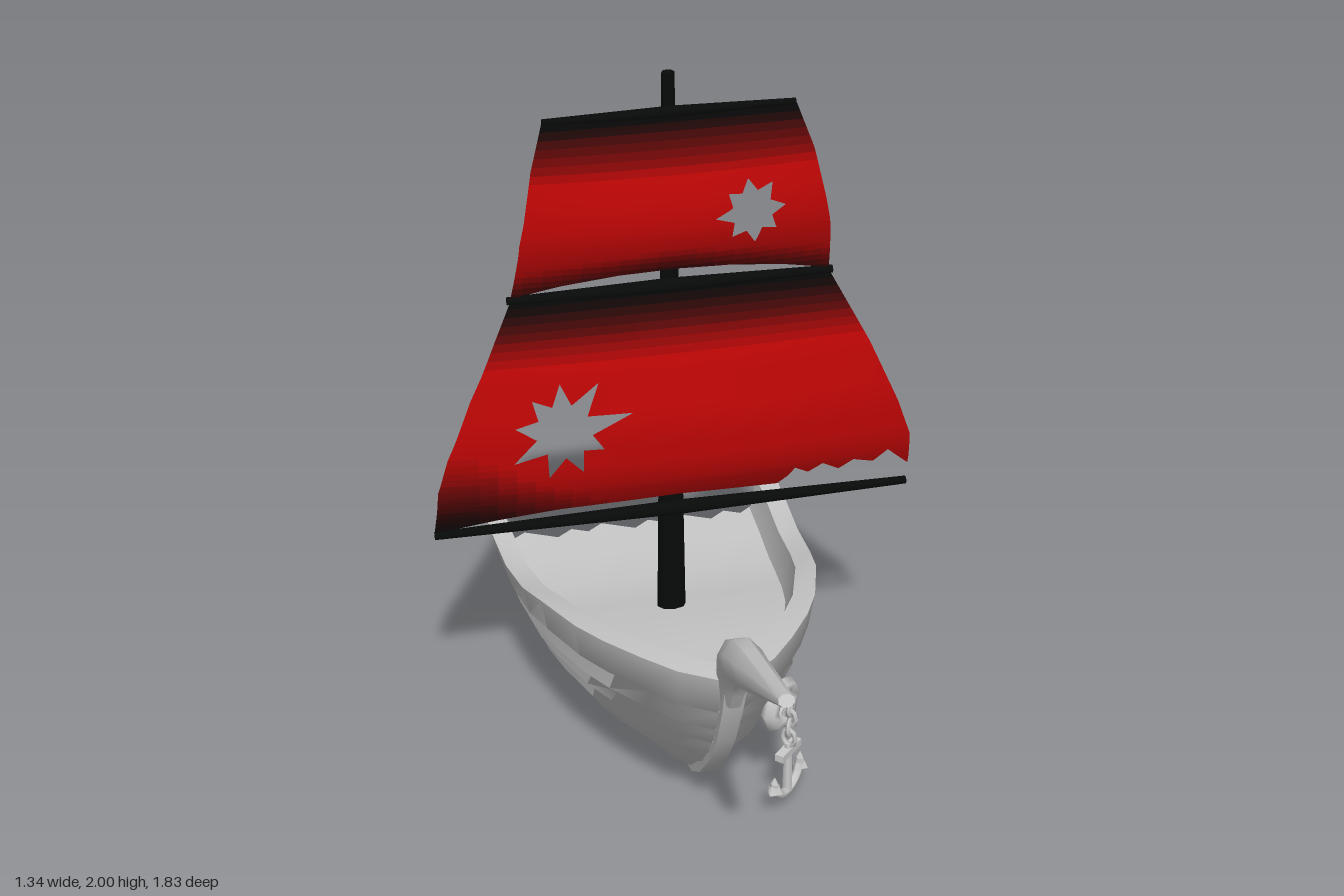
import * as THREE from 'three';
import { toCreasedNormals } from 'three/addons/utils/BufferGeometryUtils.js';

const V = (x, y, z) => new THREE.Vector3(x, y, z);
const clamp = THREE.MathUtils.clamp, lerp = THREE.MathUtils.lerp;
const grey = new THREE.MeshStandardMaterial({ color: 0xcccccc });
const black = new THREE.MeshStandardMaterial({ color: 0x080a0a });

function add(parent, name, geometry, material = grey) {
  const mesh = new THREE.Mesh(geometry, material);
  mesh.name = name;
  parent.add(mesh);
  return mesh;
}

// Skin closed rings (anticlockwise seen from the far end) and cap both ends
function loft(rings, flip = false) {
  const pos = [], m = rings[0].length;
  const quad = (a, b, c, d) => {
    const q = flip ? [a, c, b, a, d, c] : [a, b, c, a, c, d];
    q.forEach(p => pos.push(p.x, p.y, p.z));
  };
  for (let i = 0; i < rings.length - 1; i++)
    for (let j = 0; j < m; j++) {
      const k = (j + 1) % m;
      quad(rings[i][j], rings[i][k], rings[i + 1][k], rings[i + 1][j]);
    }
  const a = rings[0], b = rings[rings.length - 1];
  for (let k = 0; k < m / 2 - 1; k++) {
    quad(a[m - 1 - k], a[m - 2 - k], a[k + 1], a[k]);
    quad(b[k], b[k + 1], b[m - 2 - k], b[m - 1 - k]);
  }
  const g = new THREE.BufferGeometry();
  g.setAttribute('position', new THREE.Float32BufferAttribute(pos, 3));
  return toCreasedNormals(g, 0.8);
}

// Sweep an n-sided section along [z, y, halfWidth, halfHeight] in the centre plane
function sweep(path, sides) {
  const f = sides === 4 ? Math.SQRT2 : 1;
  return loft(path.map(([z, y, rx, ry], i) => {
    const p = path[Math.max(i - 1, 0)], q = path[Math.min(i + 1, path.length - 1)];
    const l = Math.hypot(q[0] - p[0], q[1] - p[1]), tz = (q[0] - p[0]) / l, ty = (q[1] - p[1]) / l;
    return Array.from({ length: sides }, (_, j) => {
      const a = (j + 0.5) / sides * Math.PI * 2, n = f * ry * Math.sin(a);
      return V(f * rx * Math.cos(a), y + n * tz, z - n * ty);
    });
  }));
}

// Hull stations along the length: position, breadth and sheer fractions
const S = [0, 0.12, 0.26, 0.41, 0.53, 0.68, 0.77, 0.865, 0.94, 1];
const PLAN = [1, 0.985, 0.96, 0.92, 0.86, 0.73, 0.61, 0.44, 0.28, 0.07];
const RISE = [0, 0.02, 0.05, 0.27, 0.52, 0.7, 0.8, 0.89, 0.95, 1];
// Plank edges: [x, y, z] at the broken end, then [y, z] at the stem
const EDGES = [
  [0, 0.02, -0.88, 0.035, -0.1], [0.12, 0.035, -0.88, 0.05, -0.03], [0.22, 0.065, -0.89, 0.08, 0.04],
  [0.33, 0.135, -0.9, 0.2, 0.17], [0.375, 0.195, -0.885, 0.28, 0.24], [0.402, 0.245, -0.9, 0.355, 0.29],
  [0.422, 0.295, -0.885, 0.43, 0.335], [0.442, 0.35, -0.885, 0.515, 0.375], [0.46, 0.42, -0.915, 0.64, 0.41]];
const hullPoint = ([x, y, z, sy, sz], i) => V(x * PLAN[i], lerp(y, sy, RISE[i]), lerp(z, sz, S[i]));

function hullSide(side) {
  const last = EDGES.length - 1;
  return loft(S.map((s, i) => {
    const outer = [], inner = [];
    const put = (e, inset, drop) => {
      const p = hullPoint(EDGES[e], i);
      outer.push(V(side * Math.max(0, p.x - inset), p.y - drop, p.z));
      inner.push(V(side * Math.max(0, p.x - 0.06), p.y + 0.035 * (1 - e / last), p.z - 0.06 * s ** 4));
    };
    // Each plank's lower edge overlaps the one below it with a slanted underside
    EDGES.forEach((_, e) => {
      if (e >= 3 && e < last) put(e, 0.022, 0.014);
      put(e, 0, 0);
    });
    return [...outer, ...inner.reverse()];
  }), side < 0);
}

function deck() {
  const n = 17, edge = [0.385, 0.33, -0.885, 0.48, 0.32];
  return loft(S.map((_, i) => {
    const c = hullPoint(edge, i), bottom = [], top = [];
    for (let k = 0; k < n; k++) {
      const jag = i ? 0 : 0.05 * ((k * 7 + 3) % 5) / 4 - 0.015;
      const x = c.x * (2 * k / (n - 1) - 1);
      bottom.push(V(x, c.y - 0.04, c.z + jag));
      top.push(V(x, c.y, c.z + jag));
    }
    return [...bottom, ...top.reverse()];
  }));
}

// Keep the part of a flat polygon on one side of an axis line
function clip(poly, axis, value, sign) {
  const out = [];
  poly.forEach((p, i) => {
    const q = poly[(i + 1) % poly.length];
    const a = sign * (p[axis] - value), b = sign * (q[axis] - value);
    if (a >= 0) out.push(p);
    if ((a > 0 && b < 0) || (a < 0 && b > 0)) out.push(p.clone().lerp(q, a / (a - b)));
  });
  return out;
}

// A torn hole with uneven points
const tear = (cx, cy, inner, tips, turn) => new THREE.Path(tips.flatMap((r, i) =>
  [[r, i], [inner, i + 0.5]].map(([d, k]) => {
    const a = turn + k / tips.length * Math.PI * 2;
    return new THREE.Vector2(cx + d * Math.cos(a), cy + d * Math.sin(a));
  })));

const lookup = (table, y) => {
  let i = 0;
  while (i < table.length - 2 && y > table[i + 1][0]) i++;
  const [a, b] = [table[i], table[i + 1]];
  return lerp(a[1], b[1], clamp((y - a[0]) / (b[0] - a[0]), 0, 1));
};

// Billowing cloth: outline cut into small cells, bent, and shaded dark to red in steps
function sail(name, outline, hole, profile, yardZ, halfWidth, shade) {
  const group = new THREE.Group(), levels = 16;
  group.name = name;
  const shape = new THREE.Shape(outline.map(p => new THREE.Vector2(...p)));
  shape.holes.push(hole);
  const flat = new THREE.ShapeGeometry(shape), P = flat.attributes.position, idx = flat.index;
  const depth = (x, y) => lerp(yardZ, lookup(profile, y), 1 - 0.35 * (x / halfWidth) ** 2);
  const buckets = Array.from({ length: levels + 1 }, () => ({ pos: [], nor: [] }));
  const dx = 0.05, dy = 0.02, h = 0.05;
  for (let t = 0; t < idx.count; t += 3) {
    const tri = [0, 1, 2].map(k => new THREE.Vector2(P.getX(idx.getX(t + k)), P.getY(idx.getX(t + k))));
    const ys = tri.map(p => p.y);
    for (let y = Math.floor(Math.min(...ys) / dy) * dy; y < Math.max(...ys); y += dy) {
      const row = clip(clip(tri, 'y', y, 1), 'y', y + dy, -1);
      for (let x = -0.7; row.length > 2 && x < 0.7; x += dx) {
        const cell = clip(clip(row, 'x', x, 1), 'x', x + dx, -1);
        if (cell.length < 3) continue;
        const b = buckets[Math.round(levels * clamp(shade(x + dx / 2, y + dy / 2), 0, 1))];
        for (let k = 1; k < cell.length - 1; k++)
          for (const p of [cell[0], cell[k], cell[k + 1]]) {
            b.pos.push(p.x, p.y, depth(p.x, p.y));
            const n = V((depth(p.x - h, p.y) - depth(p.x + h, p.y)) / (2 * h),
              (depth(p.x, p.y - h) - depth(p.x, p.y + h)) / (2 * h), 1).normalize();
            b.nor.push(n.x, n.y, n.z);
          }
      }
    }
  }
  buckets.forEach(({ pos, nor }, i) => {
    if (!pos.length) return;
    const g = new THREE.BufferGeometry(), f = i / levels, dark = 0.03 - 0.01 * f;
    g.setAttribute('position', new THREE.Float32BufferAttribute(pos, 3));
    g.setAttribute('normal', new THREE.Float32BufferAttribute(nor, 3));
    const color = new THREE.Color().setRGB(0.03 + 0.7 * f, dark, dark, THREE.SRGBColorSpace);
    add(group, name + 'Cloth', g, new THREE.MeshStandardMaterial({ color, side: THREE.DoubleSide }));
  });
  return group;
}

function anchor() {
  const g = new THREE.Group();
  g.name = 'anchor';
  add(g, 'hawseRing', new THREE.TorusGeometry(0.055, 0.026, 6, 8)).position.set(0, 0.345, -0.02);
  for (let i = 0; i < 4; i++) {
    const link = add(g, 'chainLink', new THREE.TorusGeometry(0.02, 0.007, 5, 8));
    link.scale.y = 1.3;
    link.position.set(0, 0.345 - i * 0.034, 0.012);
    link.rotation.y = i % 2 ? Math.PI / 2 : 0.3;
  }
  add(g, 'anchorShank', new THREE.CylinderGeometry(0.012, 0.016, 0.16, 6)).position.set(0, 0.145, 0.01);
  add(g, 'anchorStock', new THREE.BoxGeometry(0.1, 0.022, 0.026)).position.set(0, 0.2, 0.01);
  const arms = add(g, 'anchorArms', new THREE.TorusGeometry(0.07, 0.014, 6, 10, Math.PI));
  arms.rotation.z = Math.PI;
  arms.position.set(0, 0.13, 0.01);
  for (const s of [-1, 1])
    add(g, 'anchorFluke', new THREE.ConeGeometry(0.026, 0.05, 4)).position.set(s * 0.07, 0.125, 0.01);
  g.position.set(0.21, 0, 0.165);
  g.rotation.y = Math.PI / 4;
  return g;
}

export function createModel() {
  const ship = new THREE.Group();
  ship.name = 'brokenShip';

  // Hull
  add(ship, 'hullLeft', hullSide(1));
  add(ship, 'hullRight', hullSide(-1));
  add(ship, 'deck', deck());
  add(ship, 'keel', sweep([[-0.87, 0.024, 0.025, 0.02], [-0.1, 0.045, 0.025, 0.02], [0.03, 0.085, 0.025, 0.02],
    [0.12, 0.15, 0.025, 0.02], [0.24, 0.285, 0.025, 0.022], [0.315, 0.4, 0.026, 0.024],
    [0.38, 0.545, 0.028, 0.028], [0.4, 0.64, 0.03, 0.04]], 4));
  add(ship, 'bowsprit', sweep([[0.385, 0.57, 0.032, 0.045], [0.405, 0.645, 0.042, 0.066], [0.445, 0.715, 0.052, 0.068],
    [0.51, 0.762, 0.054, 0.064], [0.6, 0.797, 0.046, 0.054], [0.912, 0.93, 0.021, 0.017]], 8));
  ship.add(anchor());

  // Mast and yards
  add(ship, 'mast', new THREE.CylinderGeometry(0.017, 0.042, 1.66, 8), black).position.set(0, 1.17, -0.33);
  for (const [y, z, half, r] of [[0.745, -0.278, 0.67, 0.021], [1.42, -0.3, 0.44, 0.02], [1.902, -0.308, 0.33, 0.016]])
    for (const s of [-1, 1]) {
      const yard = add(ship, 'yard', new THREE.CylinderGeometry(r * 0.55, r, half, 8), black);
      yard.rotation.z = -s * Math.PI / 2;
      yard.position.set(s * half / 2, y, z);
    }

  // Sails
  ship.add(sail('lowerSail',
    [[-0.43, 1.42], [-0.48, 1.33], [-0.56, 1.18], [-0.63, 1.02], [-0.66, 0.92], [-0.67, 0.75], [-0.5, 0.785],
      [-0.33, 0.812], [0, 0.828], [0.28, 0.815], [0.32, 0.88], [0.36, 0.855], [0.4, 0.882], [0.45, 0.85],
      [0.49, 0.878], [0.55, 0.858], [0.59, 0.895], [0.66, 0.825], [0.65, 0.94], [0.61, 1.05], [0.53, 1.23], [0.43, 1.42]],
    tear(-0.32, 1.08, 0.075, [0.19, 0.16, 0.13, 0.12, 0.13, 0.16, 0.14, 0.13, 0.12], 0.2),
    [[0.75, -0.275], [0.85, -0.195], [0.93, -0.16], [1.07, -0.16], [1.25, -0.21], [1.42, -0.3]], -0.29, 0.67,
    (x, y) => Math.min((1.4 - y) / 0.15, (y - 0.76 + Math.max(0, x + 0.55) * 0.5) / 0.26)));
  ship.add(sail('upperSail',
    [[-0.33, 1.905], [-0.37, 1.79], [-0.41, 1.6], [-0.43, 1.425], [-0.3, 1.458], [-0.15, 1.482], [0, 1.49],
      [0.15, 1.482], [0.3, 1.458], [0.43, 1.425], [0.41, 1.6], [0.37, 1.79], [0.33, 1.905]],
    tear(0.195, 1.65, 0.055, [0.09, 0.09, 0.085, 0.08, 0.1, 0.085, 0.09, 0.085], 0.1),
    [[1.42, -0.3], [1.49, -0.25], [1.57, -0.205], [1.66, -0.2], [1.78, -0.24], [1.905, -0.305]], -0.305, 0.43,
    (x, y) => Math.min((1.89 - y) / 0.14, (y - 1.4 - 0.06 * (1 - Math.abs(x) / 0.43)) / 0.11)));
  return ship;
}
